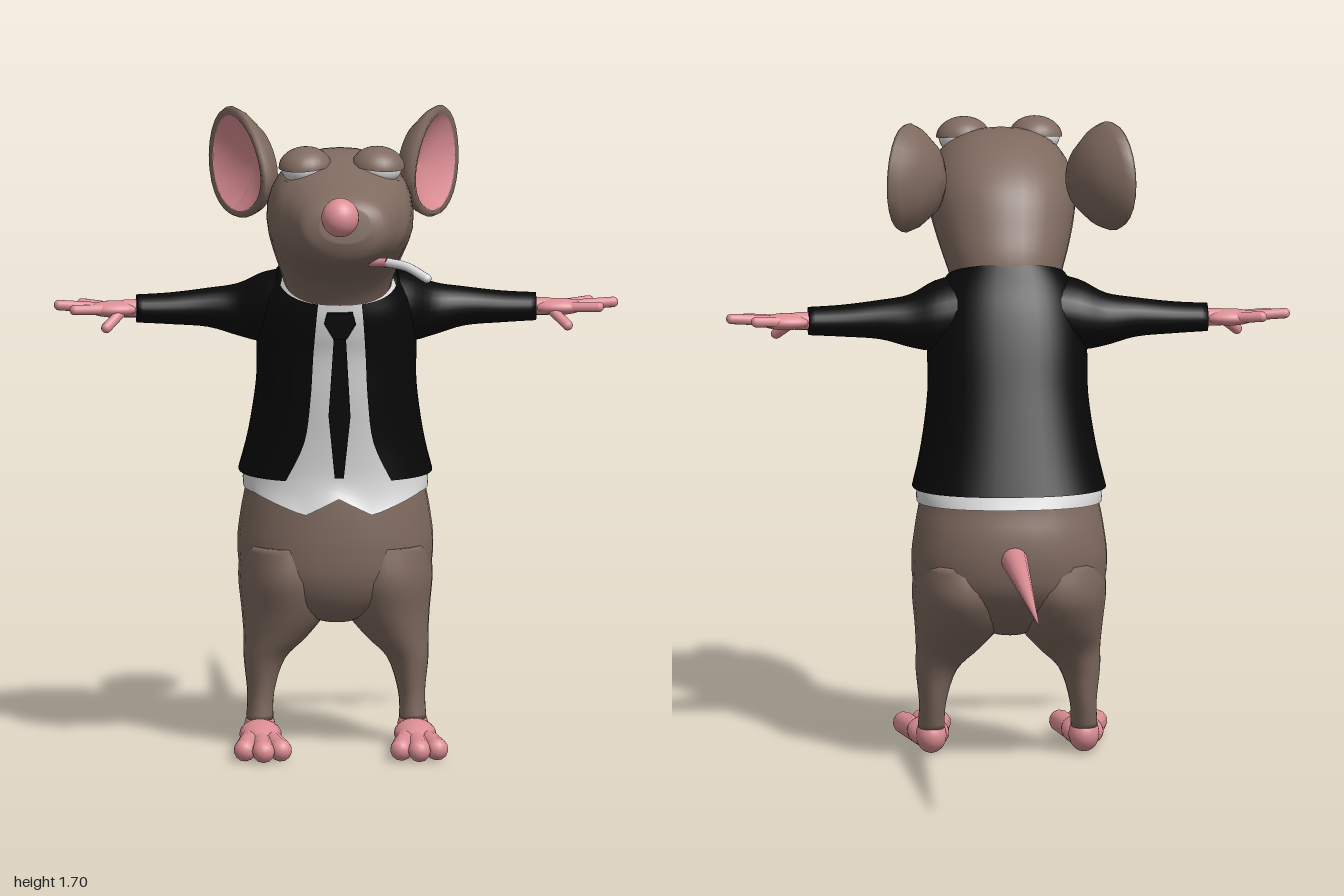
import * as THREE from 'three';
import { mergeVertices } from 'three/addons/utils/BufferGeometryUtils.js';

const V = (x, y, z) => new THREE.Vector3(x, y, z);
const paint = (name, color) => Object.assign(new THREE.MeshStandardMaterial({ color }), { name });

// Catmull-Rom subdivision of rows of numbers
function smooth(rows, k = 4) {
  const out = [], last = rows.length - 1;
  for (let i = 0; i < last; i++) {
    const [p, a, b, q] = [rows[Math.max(i - 1, 0)], rows[i], rows[i + 1], rows[Math.min(i + 2, last)]];
    for (let j = 0; j < k; j++) {
      const t = j / k;
      out.push(a.map((v, c) => v + 0.5 * t * (b[c] - p[c] + t * (2 * p[c] - 5 * v + 4 * b[c] - q[c]
        + t * (3 * (v - b[c]) + q[c] - p[c])))));
    }
  }
  out.push(rows[last]);
  return out;
}

// Skin over rings { c, a, b, open }: superellipses around c with half axes a and b, slit at +a by open
function loft(rings, { n = 2, seg = 32, caps = true } = {}) {
  const pos = [], idx = [], w = seg + 1;
  const pw = (v) => Math.sign(v) * Math.pow(Math.abs(v), 2 / n);
  for (const { c, a, b, open = 0 } of rings) {
    const t0 = Math.asin(Math.pow(open / b.length(), n / 2));
    for (let i = 0; i < w; i++) {
      const t = t0 + (i / seg) * (2 * Math.PI - 2 * t0);
      const p = c.clone().addScaledVector(a, pw(Math.cos(t))).addScaledVector(b, pw(Math.sin(t)));
      pos.push(p.x, p.y, p.z);
    }
  }
  for (let r = 0; r < rings.length - 1; r++) for (let i = 0; i < seg; i++) {
    const p = r * w + i;
    idx.push(p, p + 1, p + w, p + 1, p + w + 1, p + w);
  }
  if (caps) for (const r of [0, rings.length - 1]) {
    const m = pos.length / 3;
    pos.push(...rings[r].c.toArray());
    for (let i = 0; i < seg; i++) idx.push(m, r * w + i + (r ? 0 : 1), r * w + i + (r ? 1 : 0));
  }
  let g = new THREE.BufferGeometry();
  g.setAttribute('position', new THREE.Float32BufferAttribute(pos, 3));
  g.setIndex(idx);
  g = mergeVertices(g, 1e-5);
  g.computeVertexNormals();
  return g;
}

// Row: back z, back y, front z, front y, half width, centre x, opening
const bodyRings = (rows) => smooth(rows).map(([zb, yb, zf, yf, hw, cx = 0, open = 0]) => ({
  c: V(cx, (yb + yf) / 2, (zb + zf) / 2), a: V(0, (yf - yb) / 2, (zf - zb) / 2), b: V(hw, 0, 0), open }));

export function createModel() {
  const fur = paint('brown fur', 0x7f6a5f), pink = paint('pink skin', 0xdd8f95);
  const white = paint('white', 0xdcdcdc), black = paint('black cloth', 0x080808);
  black.side = white.side = THREE.DoubleSide;
  const model = new THREE.Group();
  const add = (parent, name, geo, mat, p = [0, 0, 0], s = [1, 1, 1]) => {
    const m = new THREE.Mesh(geo, mat);
    m.name = name;
    m.position.set(...p);
    m.scale.set(...s);
    parent.add(m);
    return m;
  };
  const ball = new THREE.SphereGeometry(1, 24, 16);
  const limb = (parent, name, a, b, r) => {
    const d = V(...b).sub(V(...a));
    const m = add(parent, name, new THREE.CapsuleGeometry(r, d.length(), 5, 12), pink);
    m.position.set(...a).addScaledVector(d, 0.5);
    m.quaternion.setFromUnitVectors(V(0, 1, 0), d.normalize());
  };

  // Hips
  add(model, 'hips', loft(bodyRings([
    [.22, .345, .40, .345, .05], [.13, .40, .46, .39, .19], [.06, .47, .495, .46, .248], [.035, .55, .505, .54, .26],
    [.035, .63, .505, .62, .252], [.05, .70, .5, .70, .238], [.06, .78, .49, .78, .22]]), { n: 2.2 }), fur);

  // Jacket, open at the front
  const jacket = [
    [.04, .745, .505, .735, .257, 0, .14], [.075, .85, .515, .84, .232, 0, .092], [.125, 1.0, .535, .96, .213, 0, .076],
    [.165, 1.12, .55, 1.07, .212, 0, .07], [.2, 1.21, .567, 1.13, .205, 0, .066], [.235, 1.28, .578, 1.18, .19, 0, .062],
    [.26, 1.335, .582, 1.22, .158, 0, .058]];
  add(model, 'jacket', loft(bodyRings(jacket), { n: 2.4, seg: 40, caps: false }), black);

  // Shirt with a two-pointed hem
  const shirt = loft(bodyRings([[.042, .71, .513, .69, .245],
    ...jacket.map(([zb, yb, zf, yf, hw]) => [zb + .015, yb, zf - .007, yf, hw - .014])]), { n: 2.4, seg: 64, caps: false });
  const sp = shirt.attributes.position;
  for (let i = 0; i < sp.count; i++) {
    const x = Math.abs(sp.getX(i)), y = sp.getY(i);
    if (sp.getZ(i) < .35) continue;
    const drop = x < .09 ? x / .09 : Math.max(0, (.22 - x) / .13);
    sp.setY(i, y - .045 * drop * THREE.MathUtils.clamp((.74 - y) / .045, 0, 1));
  }
  shirt.computeVertexNormals();
  add(model, 'shirt', shirt, white);

  // Tie
  const tie = new THREE.Group();
  tie.name = 'tie';
  tie.position.set(0, .75, .527);
  tie.rotation.x = .117;
  model.add(tie);
  const plate = (pts, depth) => new THREE.ExtrudeGeometry(
    new THREE.Shape(pts.map(([x, y]) => new THREE.Vector2(x, y))), { depth, bevelEnabled: false });
  add(tie, 'tieBlade', plate([[-.012, 0], [.012, 0], [.029, .17], [.015, .4], [-.015, .4], [-.029, .17]], .007), black);
  add(tie, 'tieKnot', plate([[-.018, .385], [.018, .385], [.042, .425], [.034, .455], [-.034, .455], [-.042, .425]], .018), black);

  // Neck, head and snout in one bent skin
  add(model, 'head', loft(bodyRings([
    [.25, 1.2, .54, 1.17, .125], [.257, 1.33, .573, 1.235, .148], [.29, 1.42, .62, 1.285, .17], [.34, 1.52, .68, 1.312, .187],
    [.42, 1.59, .74, 1.332, .195], [.52, 1.635, .79, 1.345, .19], [.64, 1.642, .84, 1.357, .178], [.75, 1.61, .88, 1.368, .152],
    [.83, 1.58, .912, 1.385, .132], [.895, 1.555, .928, 1.41, .11], [.925, 1.53, .938, 1.44, .065]]), { n: 2.2 }), fur);
  add(model, 'nose', ball, pink, [-.014, 1.51, .95], [.05, .052, .05]);

  // Cigarette in the corner of the mouth
  const c = [V(.07, 1.375, .85), V(.115, 1.379, .885), V(.165, 1.372, .92), V(.215, 1.347, .96)];
  const tube = (pts, r) => new THREE.TubeGeometry(new THREE.CatmullRomCurve3(pts), 8, r, 10);
  add(model, 'cigaretteFilter', tube(c.slice(0, 2), .0125), pink);
  add(model, 'cigarette', tube(c.slice(1), .0125), white);
  add(model, 'cigaretteEnd', ball, white, c[3].toArray(), [.0125, .0125, .0125]);

  // Tail
  const tail = add(model, 'tail', new THREE.CylinderGeometry(.001, .036, 1.06, 16, 4), pink, [0, .576, -.47]);
  tail.rotation.x = -Math.PI / 2;

  // Ear: oval cup, narrower at the front
  const cup = (pts) => {
    const g = new THREE.LatheGeometry(pts.map(([r, y]) => new THREE.Vector2(r, y)), 28);
    const p = g.attributes.position;
    for (let i = 0; i < p.count; i++) p.setZ(i, p.getZ(i) * (.8 + .9 * p.getX(i)));
    g.computeVertexNormals();
    return g;
  };
  const earBack = cup([[0, -.06], [.06, -.055], [.12, -.035], [.165, .002], [.178, .024], [.172, .034], [.152, .03]]);
  const earInside = cup([[.154, .031], [.12, .008], [.06, -.012], [0, -.018]]);

  const lid = (from, size) => new THREE.SphereGeometry(1, 24, 10, 0, Math.PI * 2, from, size);

  // Paired parts, built on the left and mirrored
  for (const side of [1, -1]) {
    const half = new THREE.Group();
    half.name = side > 0 ? 'leftSide' : 'rightSide';
    half.scale.x = side;
    model.add(half);

    const ear = new THREE.Group();
    ear.name = 'ear';
    ear.quaternion.setFromRotationMatrix(new THREE.Matrix4().makeBasis(V(.38, 0, -.925), V(.925, 0, .38), V(0, -1, 0)));
    ear.rotateY(.25);
    ear.position.set(.235, 1.558, .31);
    half.add(ear);
    add(ear, 'earBack', earBack, fur);
    add(ear, 'earInside', earInside, pink);

    // Sleepy eye
    const eye = new THREE.Group();
    eye.name = 'eye';
    eye.position.set(.097, 1.608, .69);
    eye.rotation.set(.12, .2, -.08);
    half.add(eye);
    add(eye, 'eyeball', ball, white, [0, 0, 0], [.064, .047, .064]);
    add(eye, 'upperLid', lid(0, 1.5), fur, [0, 0, 0], [.071, .054, .071]);
    add(eye, 'lowerLid', lid(2.1, Math.PI - 2.1), fur, [0, 0, 0], [.071, .054, .071]);

    // Sleeve
    add(half, 'sleeve', loft(smooth([
      [.1, 1.2, .37, .095, .13], [.19, 1.185, .35, .093, .11], [.26, 1.175, .33, .07, .075], [.34, 1.18, .325, .052, .058],
      [.44, 1.178, .325, .042, .053], [.53, 1.178, .325, .037, .05]])
      .map(([x, y, z, ry, rz]) => ({ c: V(x, y, z), a: V(0, ry, 0), b: V(0, 0, rz) })), { seg: 24 }), black);

    // Hand
    add(half, 'palm', ball, pink, [.59, 1.177, .325], [.07, .022, .043]);
    limb(half, 'wrist', [.5, 1.178, .325], [.56, 1.178, .325], .024);
    limb(half, 'finger', [.61, 1.18, .3], [.672, 1.185, .275], .014);
    limb(half, 'finger', [.62, 1.18, .322], [.735, 1.187, .318], .014);
    limb(half, 'finger', [.61, 1.178, .345], [.695, 1.18, .362], .014);
    limb(half, 'thumb', [.575, 1.168, .35], [.612, 1.135, .385], .014);

    // Leg
    add(half, 'leg', loft(bodyRings([
      [.29, .08, .385, .08, .036, .203], [.265, .15, .385, .15, .036, .2], [.24, .24, .405, .24, .055, .19],
      [.2, .30, .43, .30, .085, .16], [.12, .37, .46, .37, .115, .135], [.06, .46, .49, .46, .13, .128],
      [.07, .55, .48, .55, .12, .13]]), { seg: 24 }), fur);

    // Foot
    add(half, 'heel', ball, pink, [.203, .06, .337], [.041, .048, .05]);
    add(half, 'instep', ball, pink, [.205, .052, .44], [.056, .036, .14]);
    for (const [x0, x1, z] of [[.225, .255, .65], [.205, .207, .682], [.187, .16, .655]])
      limb(half, 'toe', [x0, .045, .45], [x1, .04, z], .03);
  }
  return model;
}
